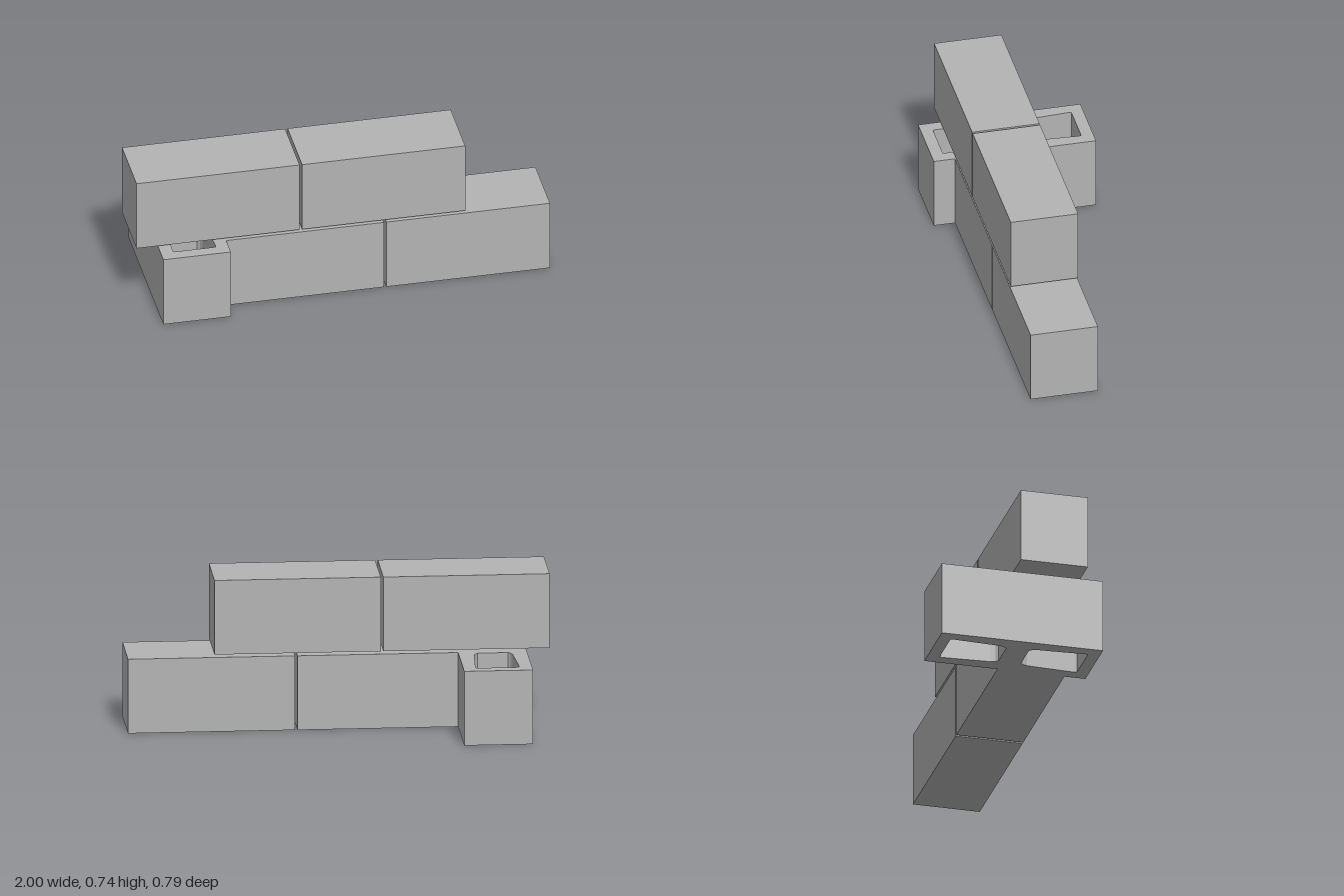
import * as THREE from 'three';

export function createModel() {
  const group = new THREE.Group();
  const concrete = new THREE.MeshStandardMaterial({ color: 0xb3b3b3 });
  concrete.name = 'concreteGrey';

  const height = 0.362, upperY = 0.376;
  const back = -0.036, front = 0.291;

  // Solid blocks: name, left end, right end, base height
  const blocks = [
    ['lowerMiddleBlock', -0.566, 0.196, 0],
    ['lowerEndBlock', 0.208, 1, 0],
    ['upperCornerBlock', -1, -0.211, upperY],
    ['upperEndBlock', -0.199, 0.59, upperY],
  ];
  for (const [name, x0, x1, y] of blocks) {
    const mesh = new THREE.Mesh(new THREE.BoxGeometry(x1 - x0, height, front - back), concrete);
    mesh.name = name;
    mesh.position.set((x0 + x1) / 2, y + height / 2, (front + back) / 2);
    group.add(mesh);
  }

  // Hollow corner block laid crosswise, with two mirrored tapering cores
  const w = 0.163, d = 0.394;
  const outline = new THREE.Shape([[-w, -d], [w, -d], [w, d], [-w, d]].map(([x, y]) => new THREE.Vector2(x, y)));
  const halfCore = [[0.072, 0.055], [0.084, 0.068], [0.091, 0.09], [0.104, 0.325], [0.1, 0.336]];
  for (const side of [1, -1]) {
    const right = halfCore.map(([x, y]) => new THREE.Vector2(x, y * side));
    const left = halfCore.map(([x, y]) => new THREE.Vector2(-x, y * side)).reverse();
    outline.holes.push(new THREE.Path([...right, ...left]));
  }
  const hollow = new THREE.ExtrudeGeometry(outline, { depth: height, bevelEnabled: false });
  hollow.rotateX(-Math.PI / 2);
  const cornerBlock = new THREE.Mesh(hollow, concrete);
  cornerBlock.name = 'hollowCornerBlock';
  cornerBlock.position.x = -0.729;
  group.add(cornerBlock);

  return group;
}
